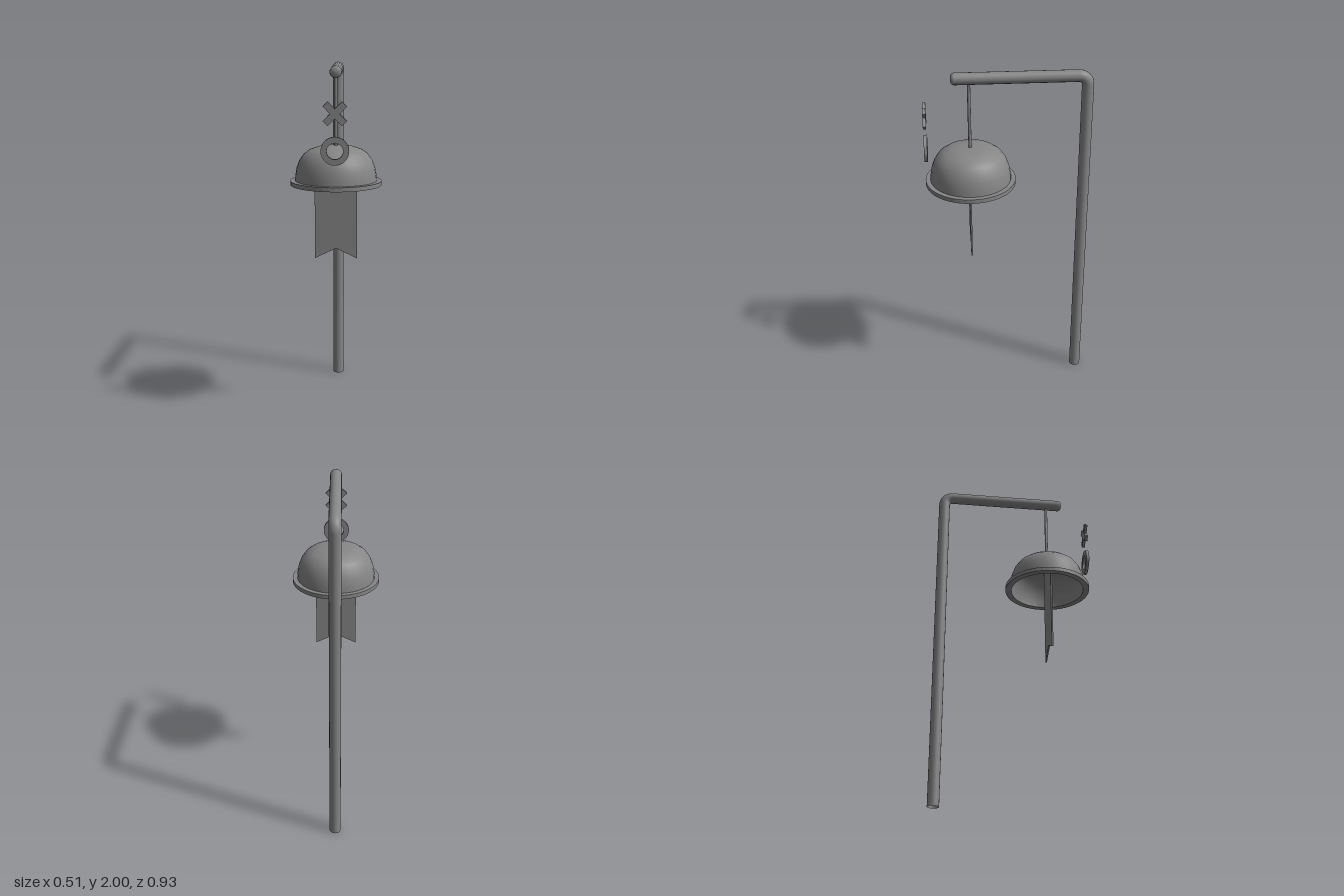
import * as THREE from 'three';

const POLE_R = 0.033, POLE_Z = -0.43, BEND_R = 0.05, ARM_Y = 1.967;
const BELL_Z = 0.21, ORNAMENT_Z = 0.453;
const GREY = 0x868686;

export function createModel() {
  const group = new THREE.Group();
  const material = new THREE.MeshStandardMaterial({ color: GREY });
  const thin = new THREE.MeshStandardMaterial({ color: GREY, side: THREE.DoubleSide });

  const add = (name, geometry, x, y, z, mat = material) => {
    const mesh = new THREE.Mesh(geometry, mat);
    mesh.name = name;
    mesh.position.set(x, y, z);
    group.add(mesh);
  };
  const points = (list) => list.map(([x, y]) => new THREE.Vector2(x, y));
  const extrude = (shape, depth) =>
    new THREE.ExtrudeGeometry(shape, { depth, bevelEnabled: false, curveSegments: 24 })
      .translate(0, 0, -depth / 2);
  const annulus = (outer, inner) => {
    const shape = new THREE.Shape().absarc(0, 0, outer, 0, Math.PI * 2);
    shape.holes.push(new THREE.Path().absarc(0, 0, inner, 0, Math.PI * 2, true));
    return shape;
  };

  // Upright tube, quarter bend and overhanging arm with a softened tip
  const postH = ARM_Y - BEND_R;
  add('post', new THREE.CylinderGeometry(POLE_R, POLE_R, postH, 16, 1, true),
    0, postH / 2, POLE_Z, thin);
  add('bend', new THREE.TorusGeometry(BEND_R, POLE_R, 16, 10, Math.PI / 2).rotateY(Math.PI / 2),
    0, postH, POLE_Z + BEND_R);
  const armStart = POLE_Z + BEND_R, armEnd = 0.307;
  const arm = points([
    [POLE_R, armStart], [POLE_R, armEnd - 0.02], [0.03, armEnd - 0.01],
    [0.02, armEnd - 0.002], [0, armEnd],
  ]);
  add('arm', new THREE.LatheGeometry(arm, 16).rotateX(Math.PI / 2), 0, ARM_Y, 0);

  // Cord from the arm to the bell
  add('cord', new THREE.CylinderGeometry(0.009, 0.009, 0.41, 10), 0, 1.755, BELL_Z);

  // Hollow bell: outer wall, and an inner wall slightly inset
  const dome = [[0.227, 1.36], [0.225, 1.4], [0.217, 1.445], [0.202, 1.486], [0.178, 1.52],
    [0.145, 1.544], [0.1, 1.559], [0.05, 1.565], [0, 1.567]];
  add('bell', new THREE.LatheGeometry(points(dome), 32), 0, 0, BELL_Z, thin);
  const inner = dome.map(([r, y]) => [r * 0.96, y - 0.01]).reverse();
  add('bellInside', new THREE.LatheGeometry(points(inner), 32), 0, 0, BELL_Z, thin);

  // Flat rim ring around the mouth of the bell
  add('bellRim', extrude(annulus(0.253, 0.217), 0.024).rotateX(-Math.PI / 2), 0, 1.362, BELL_Z);

  // Paper strip with a notched lower end
  const strip = new THREE.Shape(points([
    [-0.118, 1.53], [-0.118, 0.93], [0, 0.987], [0.118, 0.93], [0.118, 1.53],
  ]));
  add('paperStrip', extrude(strip, 0.009), 0, 0, BELL_Z + 0.006);

  // Cross and ring ornaments in front of the bell
  const cross = new THREE.Group();
  cross.name = 'crossOrnament';
  cross.position.set(0, 1.761, ORNAMENT_Z);
  for (const side of [-1, 1]) {
    const bar = new THREE.Mesh(new THREE.BoxGeometry(0.142, 0.036, side > 0 ? 0.018 : 0.017), material);
    bar.name = 'crossBar';
    bar.rotation.z = side * Math.PI / 4;
    cross.add(bar);
  }
  group.add(cross);
  add('ringOrnament', extrude(annulus(0.075, 0.043), 0.018), 0, 1.566, ORNAMENT_Z);

  return group;
}
